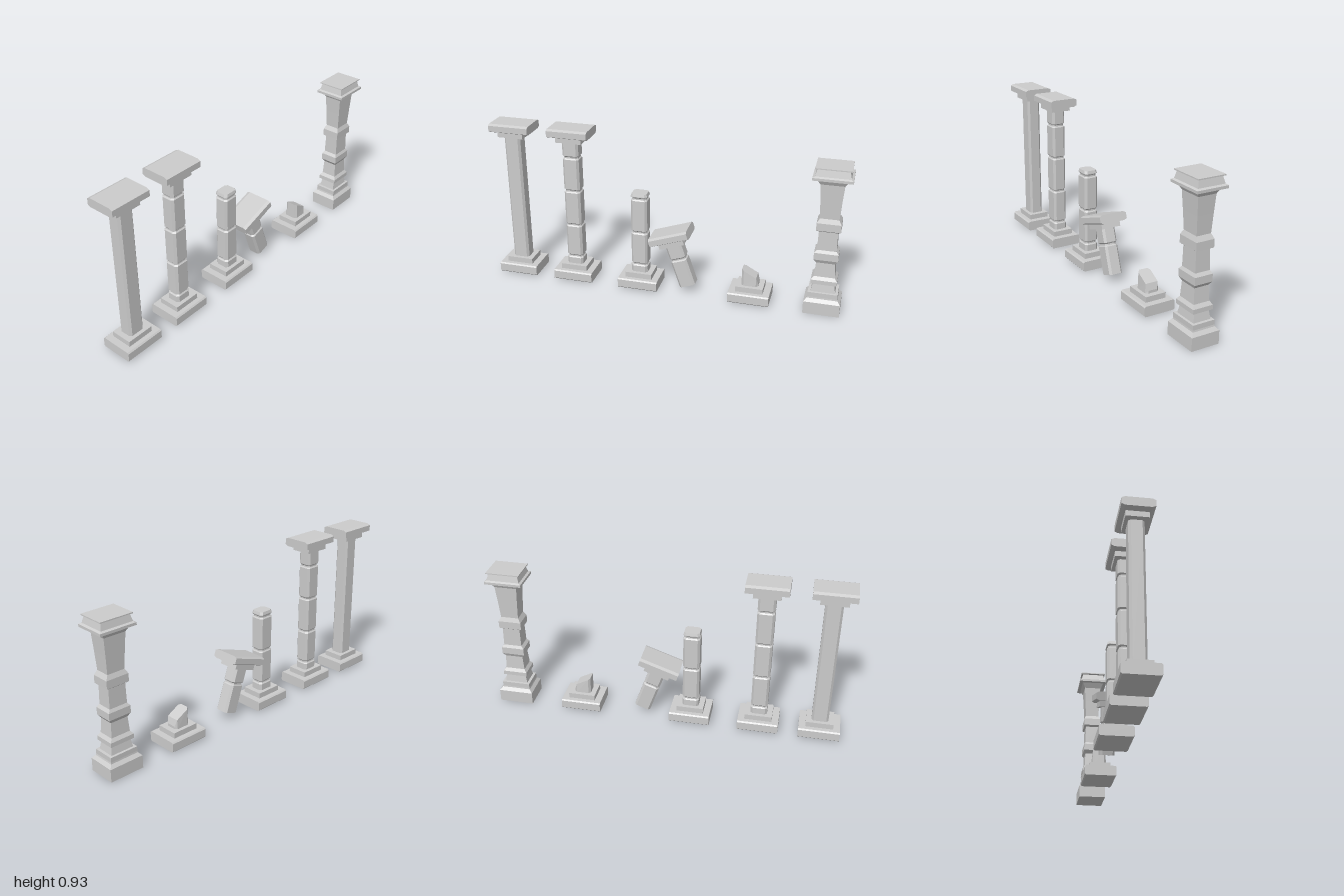
import * as THREE from 'three';

const stone = new THREE.MeshStandardMaterial({ color: 0xcccccc, flatShading: true });

// Solid through stacked rectangular rings [y or y(z), halfX, halfZ, cornerCut]
function loft(name, rings) {
  const pos = [], idx = [];
  const corners = ([y, hx, hz, c = 0]) => [
    [hx, hz - c], [hx, c - hz], [hx - c, -hz], [c - hx, -hz],
    [-hx, c - hz], [-hx, hz - c], [c - hx, hz], [hx - c, hz],
  ].map(([x, z]) => [x, typeof y === 'function' ? y(z) : y, z]);
  const loops = rings.map(corners);
  loops.forEach((loop) => loop.forEach((p) => pos.push(...p)));
  for (let r = 0; r < loops.length - 1; r++) {
    for (let i = 0; i < 8; i++) {
      const a = r * 8 + i, b = r * 8 + (i + 1) % 8;
      idx.push(a, b, b + 8, a, b + 8, a + 8);
    }
  }
  // end faces, cut into strips across x
  const t = (loops.length - 1) * 8;
  for (const [a, b, c, d] of [[7, 0, 5, 6], [0, 1, 4, 5], [1, 2, 3, 4]]) {
    idx.push(t + a, t + b, t + c, t + a, t + c, t + d);
    idx.push(a, c, b, a, d, c);
  }
  let g = new THREE.BufferGeometry();
  g.setAttribute('position', new THREE.Float32BufferAttribute(pos, 3));
  g.setIndex(idx);
  g = g.toNonIndexed();
  g.computeVertexNormals();
  const mesh = new THREE.Mesh(g, stone);
  mesh.name = name;
  return mesh;
}

// Slab whose long edges (along z) are bevelled
function slab(name, y0, y1, hx, hz, bx, by) {
  const s = new THREE.Shape([
    [hx, y0 + by], [hx, y1 - by], [hx - bx, y1], [bx - hx, y1],
    [-hx, y1 - by], [-hx, y0 + by], [bx - hx, y0], [hx - bx, y0],
  ].map(([x, y]) => new THREE.Vector2(x, y)));
  const g = new THREE.ExtrudeGeometry(s, { depth: 2 * hz, bevelEnabled: false });
  g.translate(0, 0, -hz);
  const mesh = new THREE.Mesh(g, stone);
  mesh.name = name;
  return mesh;
}

const HX = 0.04, HZ = 0.047, CUT = 0.012;

// Shaft with pinched joints at the given heights
function shaft(y0, y1, joints = []) {
  const rings = [[y0, HX, HZ, CUT]];
  for (const j of joints) {
    rings.push([j - 0.011, HX, HZ, CUT], [j - 0.004, HX - 0.006, HZ - 0.006, CUT],
      [j + 0.004, HX - 0.006, HZ - 0.006, CUT], [j + 0.011, HX, HZ, CUT]);
  }
  rings.push([y1, HX, HZ, CUT]);
  return loft('shaft', rings);
}

const foot = () => [
  slab('base', 0.007, 0.066, 0.092, 0.115, 0.007, 0.007),
  loft('plinth', [[0.066, 0.061, 0.077], [0.097, 0.061, 0.077]]),
];
const head = () => [
  loft('neck', [[0.846, 0.058, 0.074], [0.876, 0.058, 0.074]]),
  slab('capital', 0.876, 0.925, 0.083, 0.115, 0.017, 0.008),
];

function column(name, z, parts) {
  const g = new THREE.Group();
  g.name = name;
  g.add(...parts);
  g.position.z = z;
  return g;
}

export function createModel() {
  const model = new THREE.Group();
  model.name = 'columnSet';

  model.add(column('plainColumn', 0.885, [...foot(), shaft(0.097, 0.846), ...head()]));
  model.add(column('segmentedColumn', 0.542,
    [...foot(), shaft(0.097, 0.846, [0.145, 0.345, 0.555, 0.755]), ...head()]));

  // Broken column: standing lower part
  const stump = loft('brokenTop', [[0.565, HX, HZ, CUT], [0.58, HX - 0.004, HZ - 0.004, CUT]]);
  model.add(column('brokenColumn', 0.15,
    [...foot(), shaft(0.097, 0.565, [0.145, 0.345, 0.55]), stump]));

  // Fallen upper part, leaning
  const fallen = column('fallenTop', 0, [shaft(0.585, 0.846, [0.755]), ...head()]);
  fallen.rotation.x = 0.335;
  fallen.position.set(0, 0.364 - 0.925 * Math.cos(0.335), -0.021 - 0.925 * Math.sin(0.335));
  model.add(fallen);

  // Stub with a slanting break
  const breakY = (z) => (z < -0.04 ? 0.112 : 0.168 + z * 0.55);
  model.add(column('stubColumn', -0.49, [...foot(),
    loft('stub', [[0.097, HX, HZ, CUT], [breakY, HX - 0.003, HZ, CUT]])]));

  // Ornate column: stepped square mouldings
  model.add(column('ornateColumn', -0.892, [
    loft('ornateBase', [
      [0, 0.08, 0.099], [0.072, 0.08, 0.099], [0.09, 0.064, 0.083], [0.099, 0.063, 0.081],
      [0.125, 0.063, 0.081], [0.126, 0.05, 0.066]]),
    loft('ornateShaft', [
      [0.126, 0.05, 0.066], [0.17, 0.043, 0.058], [0.176, 0.057, 0.07], [0.2, 0.057, 0.07],
      [0.218, 0.045, 0.056], [0.3, 0.041, 0.05], [0.32, 0.051, 0.065], [0.36, 0.051, 0.065],
      [0.376, 0.042, 0.052], [0.484, 0.04, 0.05], [0.492, 0.051, 0.065], [0.535, 0.051, 0.065],
      [0.56, 0.041, 0.05], [0.66, 0.046, 0.056], [0.755, 0.051, 0.063], [0.786, 0.068, 0.08]]),
    loft('ornateCapital', [
      [0.786, 0.087, 0.104], [0.8, 0.087, 0.104], [0.806, 0.076, 0.092], [0.842, 0.067, 0.083],
      [0.845, 0.077, 0.094], [0.851, 0.077, 0.094]]),
  ]));

  return model;
}
